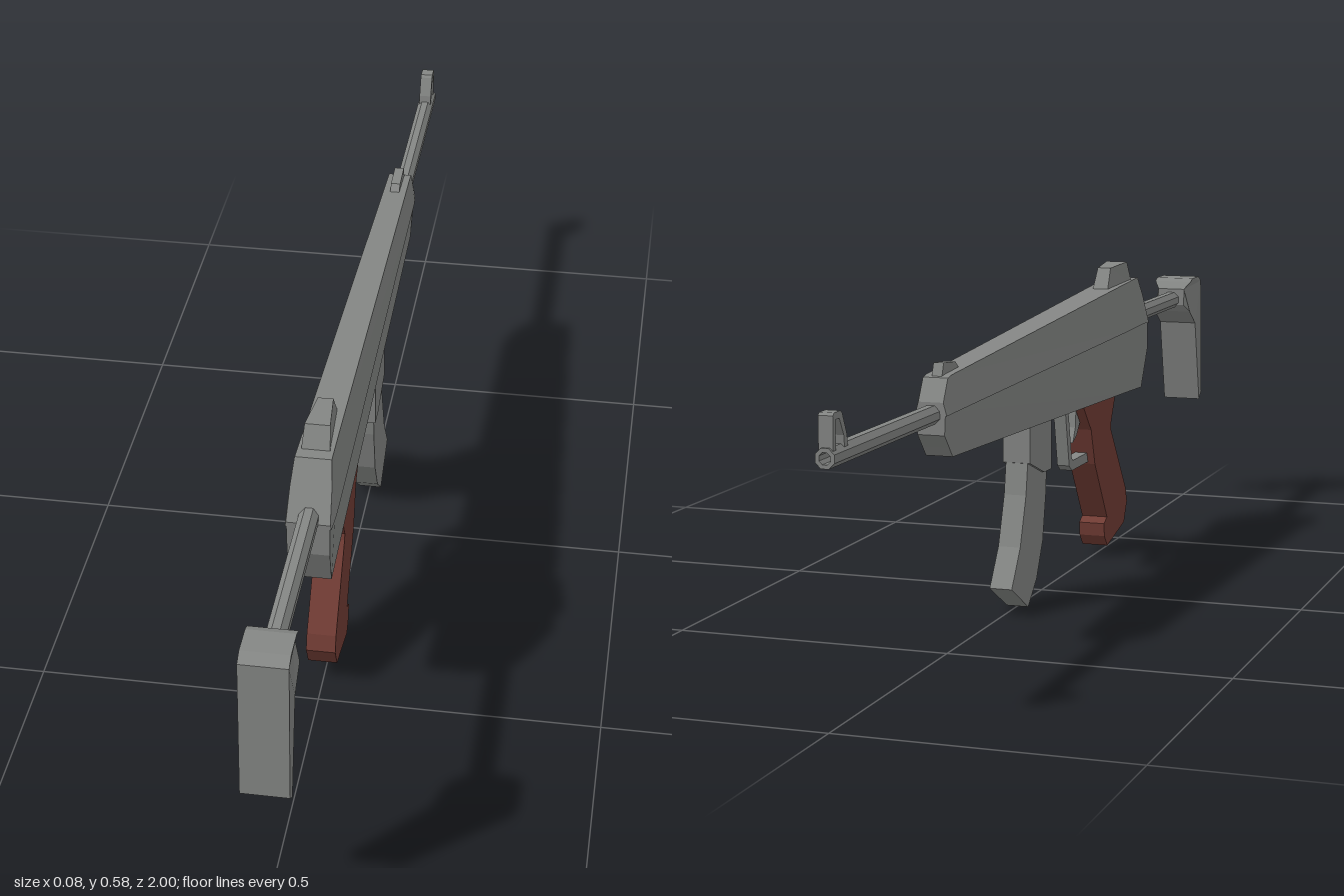
import * as THREE from 'three';

const grey = new THREE.MeshStandardMaterial({ color: 0x848684, flatShading: true, side: THREE.DoubleSide });
const red = new THREE.MeshStandardMaterial({ color: 0x713c34, flatShading: true, side: THREE.DoubleSide });

// Side profile given as [z, y] points, extruded across x. taper(z, y) scales the half width.
function plate(name, points, half, material = grey, taper = null) {
  const shape = new THREE.Shape(points.map(([z, y]) => new THREE.Vector2(z, y)));
  const geo = new THREE.ExtrudeGeometry(shape, { depth: 2 * half, bevelEnabled: false });
  geo.translate(0, 0, -half).rotateY(-Math.PI / 2);
  if (taper) {
    const p = geo.attributes.position;
    for (let i = 0; i < p.count; i++) p.setX(i, p.getX(i) * taper(p.getZ(i), p.getY(i)));
    geo.computeVertexNormals();
  }
  const mesh = new THREE.Mesh(geo, material);
  mesh.name = name;
  return mesh;
}

// Cross-sections: [z, topY, seamY, bottomY, topHalf, seamHalf, bottomHalf];
// the upper shell overhangs the lower one slightly at the seam.
function loftBody(sections) {
  const pos = [], index = [], n = 8, ledge = 0.0025;
  for (const [z, t, m, b, wt, wm, wb] of sections) {
    const wl = wm - ledge;
    pos.push(wt, t, z, -wt, t, z, -wm, m, z, -wl, m, z, -wb, b, z, wb, b, z, wl, m, z, wm, m, z);
  }
  const last = (sections.length - 1) * n;
  for (let s = 0; s < last; s += n) {
    for (let i = 0; i < n; i++) {
      const a = s + i, b = s + (i + 1) % n;
      index.push(a, a + n, b, b, a + n, b + n);
    }
  }
  for (let i = 1; i < n - 1; i++) {
    index.push(0, i, i + 1, last, last + i + 1, last + i);
  }
  const geo = new THREE.BufferGeometry();
  geo.setAttribute('position', new THREE.Float32BufferAttribute(pos, 3));
  geo.setIndex(index);
  const flat = geo.toNonIndexed();
  flat.computeVertexNormals();
  const mesh = new THREE.Mesh(flat, grey);
  mesh.name = 'body';
  return mesh;
}

// Eight-sided rod along z, turned from [radius, z] points
function rod(name, y, points) {
  const geo = new THREE.LatheGeometry(points.map(([r, z]) => new THREE.Vector2(r, z)), 8, Math.PI / 8);
  geo.rotateX(Math.PI / 2);
  const mesh = new THREE.Mesh(geo, grey);
  mesh.name = name;
  mesh.position.y = y;
  return mesh;
}

export function createModel() {
  const model = new THREE.Group();
  model.name = 'rifle';

  // Tapered body with a seam along each side
  model.add(loftBody([
    [0.578, 0.45, 0.442, 0.388, 0.037, 0.039, 0.036],
    [0.545, 0.503, 0.446, 0.312, 0.035, 0.042, 0.033],
    [0.52, 0.542, 0.446, 0.313, 0.031, 0.042, 0.033],
    [0.43, 0.537, 0.443, 0.316, 0.030, 0.041, 0.032],
    [-0.53, 0.483, 0.422, 0.346, 0.022, 0.031, 0.024],
    [-0.545, 0.48, 0.421, 0.363, 0.022, 0.030, 0.024],
    [-0.567, 0.442, 0.42, 0.387, 0.022, 0.028, 0.024],
  ]));

  // Barrel with a hollow muzzle, and the stock rod
  model.add(rod('barrel', 0.421, [[0.017, -0.55], [0.017, -1], [0.010, -1], [0.010, -0.95], [0, -0.95]]));
  model.add(rod('stockRod', 0.456, [[0.018, 0.9], [0.018, 0.55]]));

  // Shoulder stock, narrowing where it meets the rod
  model.add(plate('stock', [
    [1, 0.24], [0.98, 0.224], [0.94, 0.40], [0.895, 0.43], [0.885, 0.445], [0.885, 0.48],
    [0.9, 0.495], [0.915, 0.501], [0.965, 0.501], [0.985, 0.49],
  ], 0.04, grey, (z) => (z < 0.89 ? 0.72 : 1)));

  // Sights
  model.add(plate('rearSight', [[0.5, 0.53], [0.475, 0.578], [0.39, 0.573], [0.362, 0.53]], 0.025, grey,
    (z, y) => (z > 0.45 ? 1 : 0.62) * (y > 0.55 ? 0.86 : 1)));
  model.add(plate('forwardSight', [[-0.455, 0.482], [-0.475, 0.498], [-0.53, 0.503], [-0.54, 0.477]], 0.009));
  model.add(plate('muzzleSight', [
    [-0.94, 0.432], [-0.943, 0.45], [-0.96, 0.485], [-0.966, 0.489], [-0.99, 0.489], [-0.995, 0.485],
    [-0.995, 0.432], [-0.985, 0.432], [-0.985, 0.478], [-0.971, 0.478], [-0.955, 0.45], [-0.953, 0.432],
  ], 0.012));

  // Pistol grip
  model.add(plate('grip', [
    [0.39, 0.335], [0.38, 0.31], [0.355, 0.262], [0.358, 0.25], [0.46, 0.115], [0.47, 0.085],
    [0.45, 0.045], [0.335, 0.019], [0.315, 0.042], [0.312, 0.068], [0.332, 0.078],
    [0.25, 0.20], [0.225, 0.272], [0.165, 0.335],
  ], 0.026, red));

  // Trigger and its guard
  model.add(plate('triggerGuard', [
    [0.104, 0.335], [0.13, 0.216], [0.147, 0.204], [0.25, 0.204], [0.25, 0.223],
    [0.153, 0.223], [0.146, 0.229], [0.122, 0.335],
  ], 0.012));
  model.add(plate('trigger', [
    [0.215, 0.33], [0.21, 0.29], [0.19, 0.267], [0.165, 0.255], [0.18, 0.283], [0.185, 0.33],
  ], 0.008));

  // Magazine well and curved magazine
  model.add(plate('magazineWell', [
    [-0.02, 0.36], [-0.02, 0.238], [-0.06, 0.238], [-0.142, 0.268], [-0.142, 0.36],
  ], 0.026));
  model.add(plate('magazine', [
    [-0.03, 0.3], [-0.036, 0.2], [-0.055, 0.108], [-0.09, 0.043], [-0.138, 0],
    [-0.229, 0.052], [-0.182, 0.12], [-0.15, 0.21], [-0.135, 0.3],
  ], 0.021));

  return model;
}
